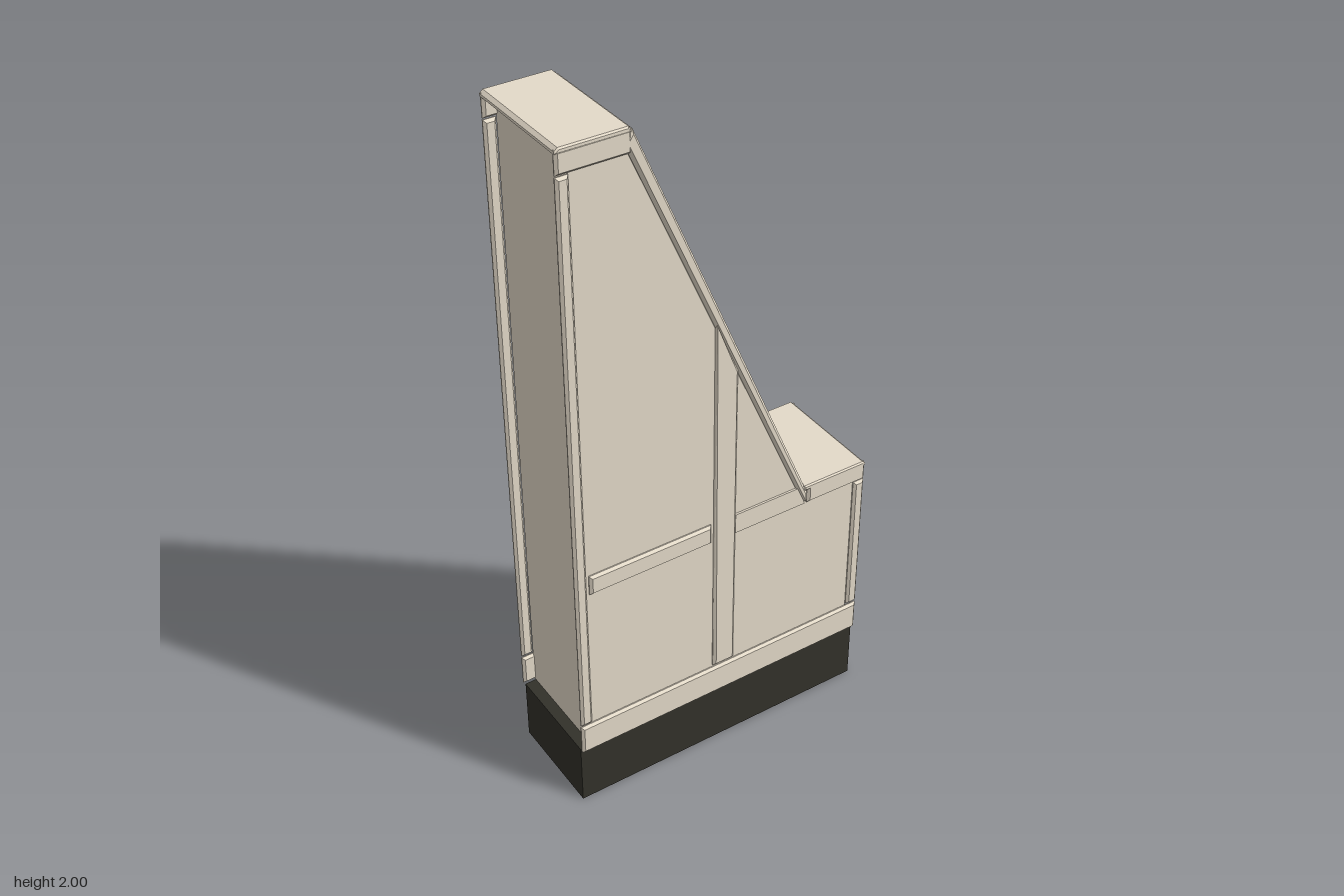
import * as THREE from 'three';

export function createModel() {
  const group = new THREE.Group();
  const beige = new THREE.MeshStandardMaterial({ color: 0xe4dac9 });
  beige.name = 'warm beige';
  const dark = new THREE.MeshStandardMaterial({ color: 0x32312a });
  dark.name = 'dark plinth';

  // Extrudes a side outline from z0 to z1, with optional chamfered edges
  function slab(name, points, z0, z1, bevel = 0, material = beige) {
    const shape = new THREE.Shape(points.map(([x, y]) => new THREE.Vector2(x, y)));
    const geometry = new THREE.ExtrudeGeometry(shape, {
      depth: z1 - z0 - 2 * bevel,
      bevelEnabled: bevel > 0,
      bevelSize: bevel,
      bevelOffset: -bevel,
      bevelThickness: bevel,
      bevelSegments: 1,
    });
    geometry.translate(0, 0, z0 + bevel);
    const mesh = new THREE.Mesh(geometry, material);
    mesh.name = name;
    group.add(mesh);
  }
  const rect = (x0, y0, x1, y1) => [[x0, y0], [x1, y0], [x1, y1], [x0, y1]];

  const D = 0.168; // half depth of the raised trim
  const T = 0.151; // inner face of the trim strips

  // Matching trim strips on the front and back
  function strips(name, points, bevel = 0.007, outer = D) {
    slab(name + 'Front', points, T, outer, bevel);
    slab(name + 'Back', points, -outer, -T, bevel);
  }

  // Plinth, and the core whose ends sit back between the trim strips
  slab('plinth', rect(-0.453, 0, 0.453, 0.19), -0.15, 0.15, 0, dark);
  slab('corePanel', [
    [-0.42, 0.19], [0.42, 0.19], [0.42, 0.78], [0.24, 0.78], [-0.27, 1.97], [-0.27, 1.99], [-0.42, 1.99],
  ], -0.157, 0.157);

  // Base band
  strips('baseBand', rect(-0.455, 0.19, 0.453, 0.283));

  // Caps: a thin top plate over front and back strips
  slab('topCapPlate', [
    [-0.455, 1.985], [-0.262, 1.985], [-0.27, 2], [-0.446, 2], [-0.455, 1.992],
  ], -D, D, 0.004);
  strips('topCap', rect(-0.455, 1.932, -0.262, 1.994));
  slab('lowCapPlate', [
    [0.25, 0.775], [0.453, 0.775], [0.453, 0.783], [0.444, 0.791], [0.25, 0.791],
  ], -D, D, 0.004);
  strips('lowCap', rect(0.262, 0.73, 0.453, 0.787));

  // Upright stiles, the middle one cut to the slope
  strips('tallStile', rect(-0.455, 0.29, -0.421, 1.928));
  strips('shortStile', rect(0.419, 0.29, 0.453, 0.728));
  strips('middleStile', [[-0.036, 0.29], [0.031, 0.29], [0.031, 1.25], [-0.036, 1.41]]);

  // Sloping edge band across the full depth
  slab('slopeBand', [
    [-0.282, 1.96], [0.25, 0.735], [0.262, 0.735], [0.262, 0.765], [-0.258, 1.99],
  ], -D, D, 0.008);

  // Cross rails
  strips('crossRail', rect(-0.412, 0.73, -0.045, 0.79));
  strips('thinCrossRail', [[0.031, 0.73], [0.255, 0.73], [0.232, 0.79], [0.031, 0.79]], 0, 0.163);

  return group;
}
